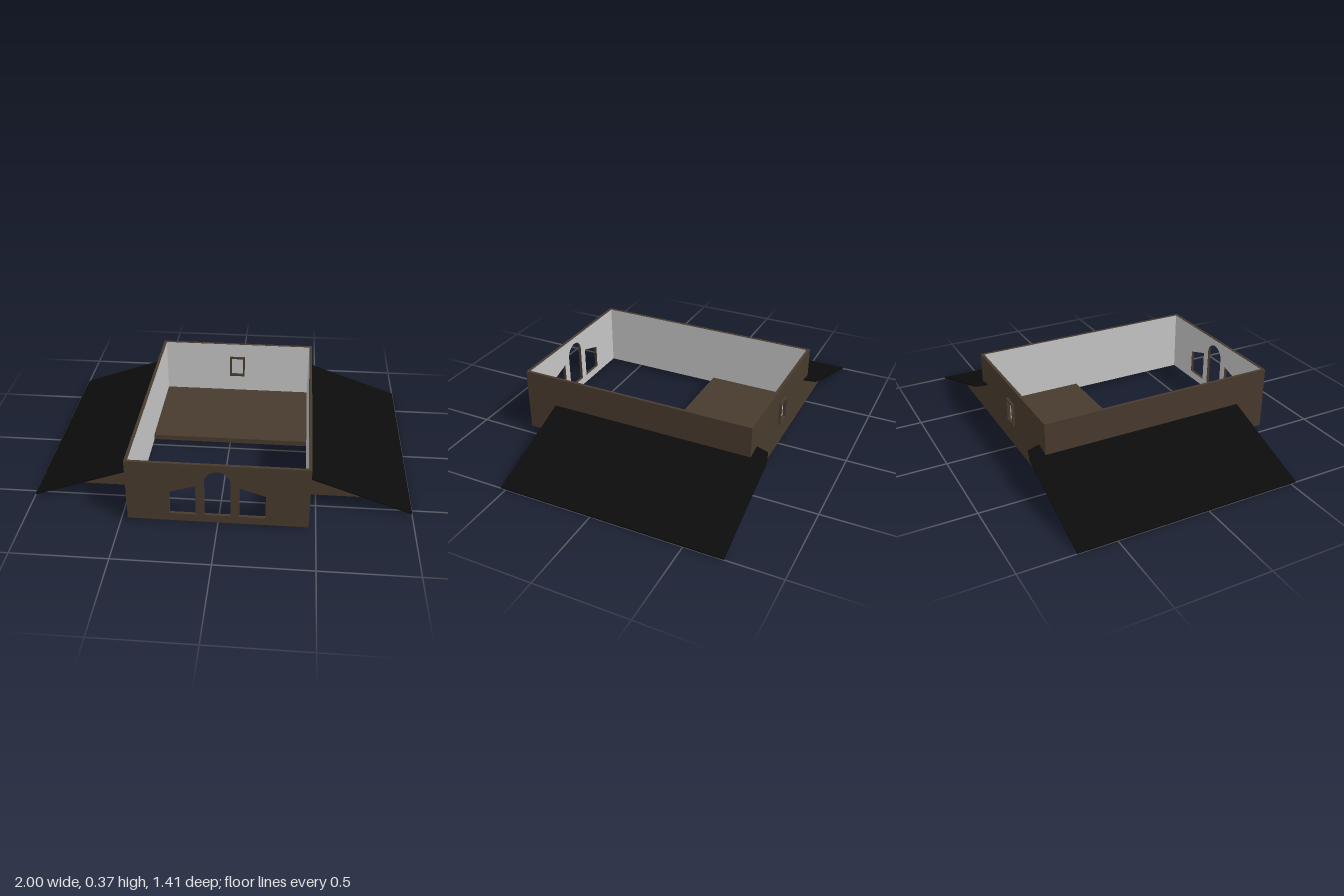
import * as THREE from 'three';

const brown = new THREE.MeshStandardMaterial({ color: 0x483a2d });
brown.name = 'brown timber';
const pale = new THREE.MeshStandardMaterial({ color: 0xc4c4c4 });
pale.name = 'pale plaster';
const black = new THREE.MeshStandardMaterial({ color: 0x0c0c0c });
black.name = 'black roofing';

const W = 0.463, BASE = 0.02, TOP = 0.373, FRONT = 0.706, BACK = -0.62, T = 0.016;

function add(parent, name, geometry, material, x = 0, y = 0, z = 0) {
  const mesh = new THREE.Mesh(geometry, material);
  mesh.name = name;
  mesh.position.set(x, y, z);
  parent.add(mesh);
  return mesh;
}

const polygon = (points, Type = THREE.Shape) => new Type(points.map(p => new THREE.Vector2(...p)));

const rect = (x0, y0, x1, y1, Type) => polygon([[x0, y0], [x1, y0], [x1, y1], [x0, y1]], Type);

const extrude = (shape, depth) =>
  new THREE.ExtrudeGeometry(shape, { depth, bevelEnabled: false, curveSegments: 16 });

// Arched middle opening with a sloping-topped one on each side
function frontOpenings() {
  const arch = new THREE.Path();
  arch.moveTo(-0.066, 0.065);
  arch.lineTo(0.066, 0.065);
  arch.lineTo(0.066, 0.268);
  arch.absarc(0, 0.268, 0.066, 0, Math.PI, false);
  arch.lineTo(-0.066, 0.065);
  const sides = [-1, 1].map(s =>
    polygon([[s * 0.11, 0.065], [s * 0.243, 0.065], [s * 0.243, 0.2], [s * 0.11, 0.243]], THREE.Path));
  return [arch, ...sides];
}

// End wall with openings, lined on its inner face
function endWall(parent, name, holes, z, inward) {
  const shape = rect(-W, BASE, W, TOP);
  shape.holes.push(...holes);
  add(parent, name, extrude(shape, T), brown, 0, 0, z);

  const lining = rect(-W + T, BASE, W - T, TOP - 0.001);
  lining.holes.push(...holes);
  const face = new THREE.ShapeGeometry(lining, 16);
  if (inward < 0) face.rotateY(Math.PI); // openings are symmetrical
  add(parent, name + 'Lining', face, pale, 0, 0, inward > 0 ? z + T + 0.001 : z - 0.001);
}

// Height of the roof underside at a distance from the centre line
const roofY = x => (x >= W ? (1 - x) * 0.358 : (1 - W) * 0.358 + (W - x) * 0.2);

// Sloping roof slab from a plan outline of [x, z] points
function roofSlab(points, side) {
  const geometry = extrude(polygon(points.map(([x, z]) => [side * x, -z])), 0.008);
  geometry.rotateX(-Math.PI / 2);
  const p = geometry.attributes.position;
  for (let i = 0; i < p.count; i++) p.setY(i, p.getY(i) + roofY(Math.abs(p.getX(i))));
  geometry.computeVertexNormals();
  return geometry;
}

export function createModel() {
  const model = new THREE.Group();
  model.name = 'house';

  // End walls
  endWall(model, 'frontWall', frontOpenings(), FRONT - T, -1);
  endWall(model, 'backWall', [rect(-0.035, 0.165, 0.035, 0.275, THREE.Path)], BACK, 1);

  // Side walls, wings and roofs
  const length = FRONT - BACK - 2 * T, midZ = (FRONT + BACK) / 2, height = TOP - BASE;
  for (const s of [-1, 1]) {
    const label = s > 0 ? 'left' : 'right';
    add(model, label + 'Wall', new THREE.BoxGeometry(T, height, length), brown,
      s * (W - T / 2), (TOP + BASE) / 2, midZ);
    const lining = new THREE.PlaneGeometry(length, height - 0.001);
    lining.rotateY(-s * Math.PI / 2);
    add(model, label + 'WallLining', lining, pale, s * (W - T - 0.001), (TOP + BASE) / 2, midZ);

    const wing = new THREE.Group();
    wing.name = label + 'Wing';
    model.add(wing);
    const gable = polygon([[s * W, BASE], [s * 0.944, BASE], [s * W, roofY(W)]]);
    add(wing, 'backGable', extrude(gable, T), brown, 0, 0, BACK);
    add(wing, 'frontGable', extrude(gable, T), brown, 0, 0, 0.43 - T);
    add(wing, 'roof', roofSlab([[W, 0.53], [1, 0.53], [1, -0.706], [W, -0.706]], s), black);
    // Short return of the roof behind the back wall
    add(wing, 'roofReturn', roofSlab([[W, BACK], [W, -0.706], [0.40, -0.688], [0.38, BACK]], s), black);
  }

  // Floor over the rear part
  add(model, 'floor', new THREE.BoxGeometry(2 * (W - T), 0.03, 0.576), brown, 0, BASE + 0.015, -0.316);

  // Framed back window
  const frame = rect(-0.046, 0.154, 0.046, 0.286);
  frame.holes.push(rect(-0.035, 0.165, 0.035, 0.275, THREE.Path));
  add(model, 'backWindowFrame', extrude(frame, 0.04), brown, 0, 0, -0.632);
  add(model, 'backWindowPane', new THREE.BoxGeometry(0.07, 0.11, 0.005), pale, 0, 0.22, BACK + T / 2);

  return model;
}
